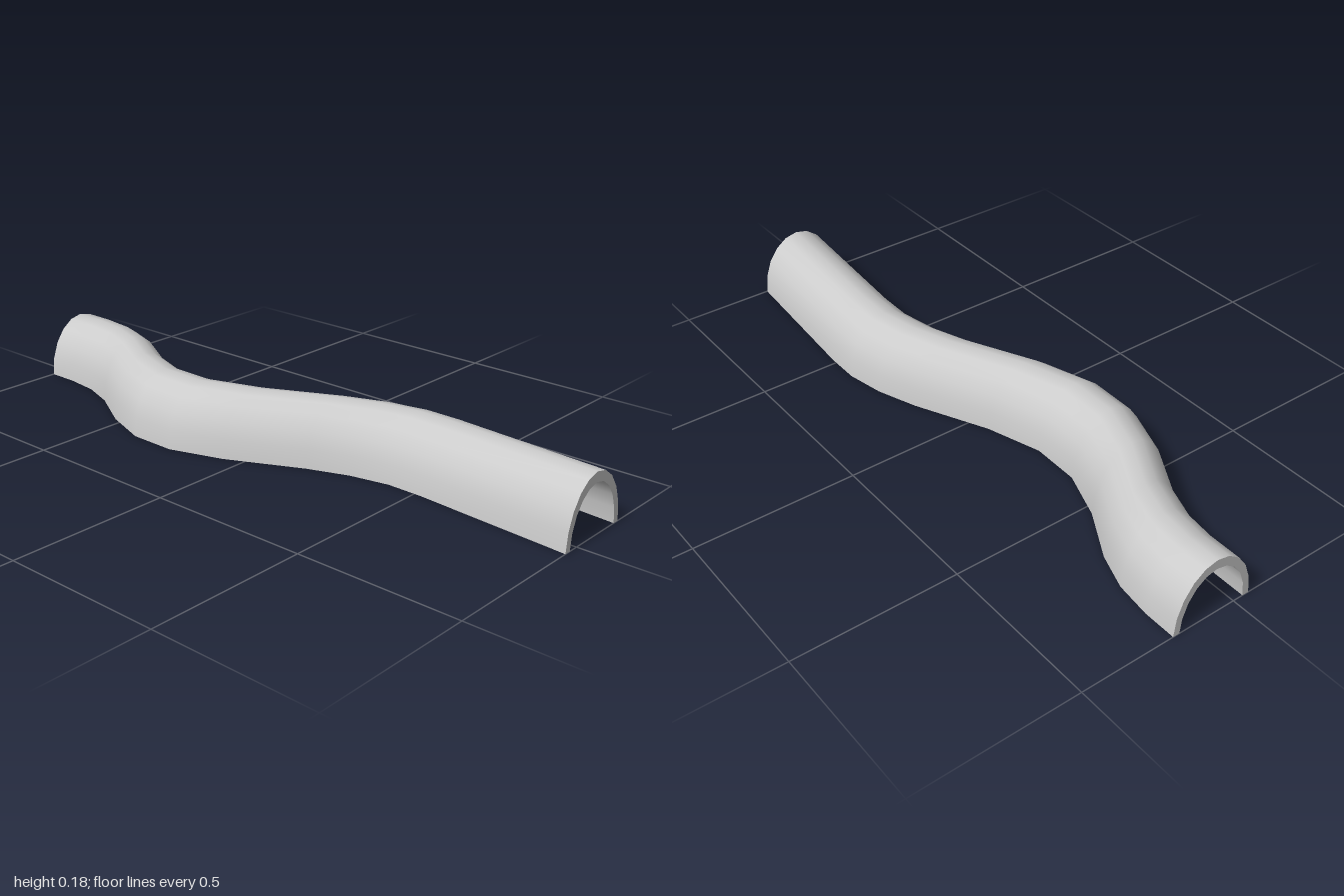
import * as THREE from 'three';
import { toCreasedNormals } from 'three/addons/utils/BufferGeometryUtils.js';

// centre line of the winding channel: [z, x]
const path = [
  [-1, 0.077], [-0.9, 0.077], [-0.79, 0.064], [-0.68, 0.025], [-0.53, -0.061],
  [-0.38, -0.115], [-0.23, -0.117], [-0.06, -0.063], [0.165, 0.045],
  [0.29, 0.091], [0.41, 0.115], [0.52, 0.114], [1, 0.077],
];

// half-ellipse points from right foot to left foot
function arc(rx, ry, segments = 10) {
  return Array.from({ length: segments + 1 }, (_, i) => {
    const a = (Math.PI * i) / segments;
    return new THREE.Vector2(rx * Math.cos(a), ry * Math.sin(a));
  });
}

export function createModel() {
  const group = new THREE.Group();
  group.name = 'windingTunnel';

  // arch-shaped wall section
  const section = new THREE.Shape([...arc(0.13, 0.184), ...arc(0.1095, 0.154).reverse()]);

  // one extrusion step per path station
  const steps = path.length - 1;
  const geometry = new THREE.ExtrudeGeometry(section, { depth: steps, steps, bevelEnabled: false });

  // slide each section sideways onto the centre line
  const pos = geometry.attributes.position;
  for (let i = 0; i < pos.count; i++) {
    const [z, x] = path[Math.round(pos.getZ(i))];
    pos.setX(i, pos.getX(i) + x);
    pos.setZ(i, z);
  }

  // smooth along the shell, sharp at rims and ends
  const tunnel = new THREE.Mesh(
    toCreasedNormals(geometry, 0.75),
    new THREE.MeshStandardMaterial({ color: 0xcccccc })
  );
  tunnel.name = 'archedShell';
  group.add(tunnel);
  return group;
}
